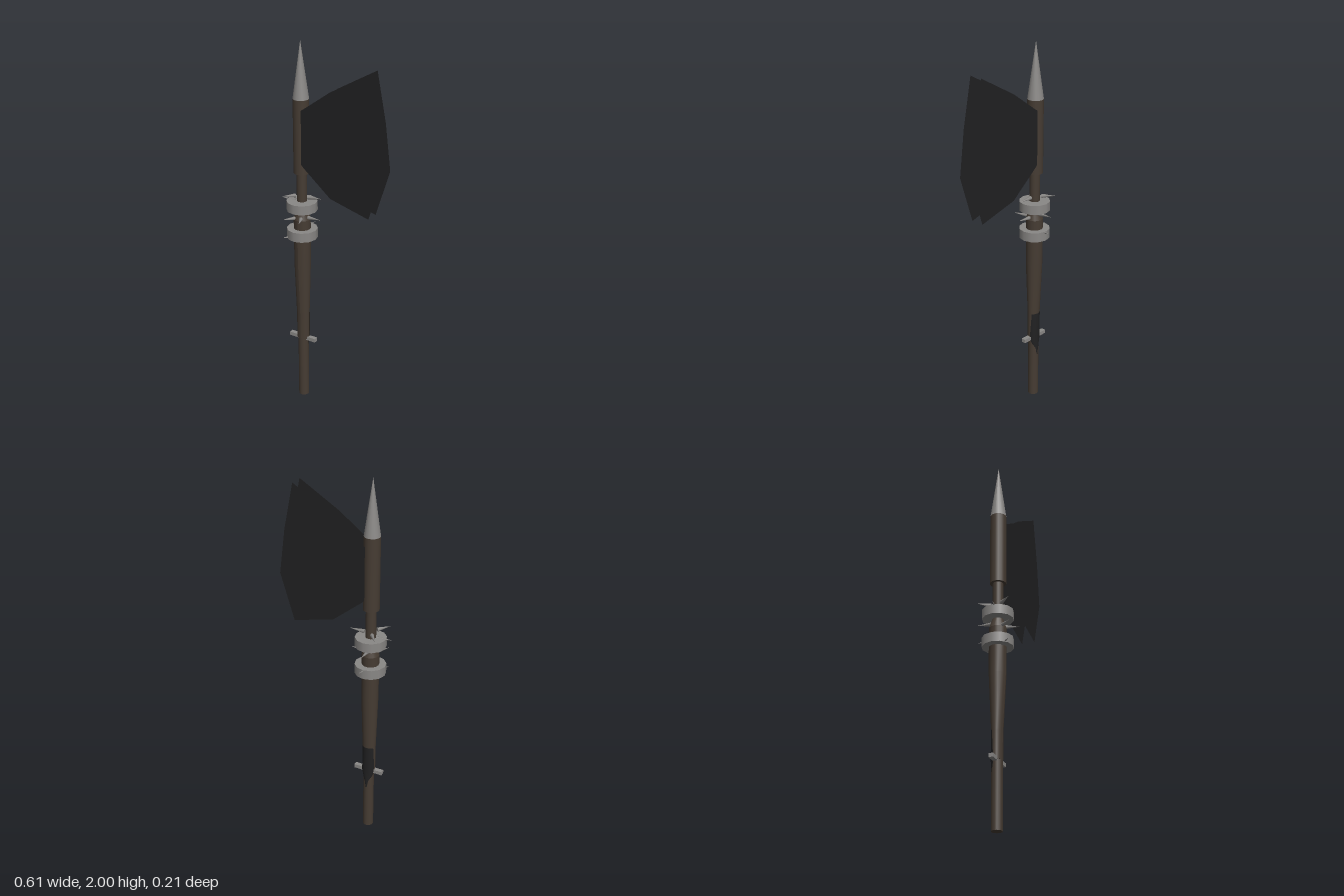
import * as THREE from 'three';

const wood = new THREE.MeshStandardMaterial({ name: 'darkWood', color: 0x463c33 });
const iron = new THREE.MeshStandardMaterial({ name: 'blackIron', color: 0x212122, side: THREE.DoubleSide });
const steel = new THREE.MeshStandardMaterial({ name: 'greySteel', color: 0x8a8886 });

const CX = -0.195, CZ = 0.005; // axis of the shaft

export function createModel() {
  const model = new THREE.Group();
  model.name = 'battleAxe';

  const add = (name, geometry, material, x = CX, y = 0, z = CZ) => {
    const mesh = new THREE.Mesh(geometry, material);
    mesh.name = name;
    mesh.position.set(x, y, z);
    model.add(mesh);
    return mesh;
  };
  const rod = (name, rTop, rBottom, y0, y1, material, sides = 16) =>
    add(name, new THREE.CylinderGeometry(rTop, rBottom, y1 - y0, sides), material, CX, (y0 + y1) / 2);

  // Shaft, from the butt to the spear point
  rod('butt', 0.028, 0.028, 0, 0.4, wood);
  const grip = new THREE.CylinderGeometry(1, 1, 1, 16, 3);
  const rows = [[0.35, 0.035, 0.028], [0.5, 0.036, 0.029], [0.8, 0.044, 0.044], [1.05, 0.045, 0.045]];
  const p = grip.attributes.position;
  for (let i = 0; i < p.count; i++) {
    const [y, rx, rz] = rows[Math.round((p.getY(i) + 0.5) * 3)];
    p.setXYZ(i, p.getX(i) * rx, y, p.getZ(i) * rz);
  }
  grip.computeVertexNormals();
  add('grip', grip, wood);
  rod('gripShoulder', 0.029, 0.045, 1.05, 1.1, wood);
  rod('neck', 0.027, 0.027, 1.08, 1.32, wood);
  rod('headSleeve', 0.042, 0.042, 1.305, 1.7, wood);
  rod('spearPoint', 0, 0.042, 1.7, 2.0, steel);

  // Dark strip at the back of the grip, tapering to a point below
  const strip = new THREE.CylinderGeometry(1, 1, 1, 10, 2, true, Math.PI * 0.56, Math.PI * 0.88);
  const s = strip.attributes.position;
  for (let i = 0; i < s.count; i++) {
    const row = Math.round((s.getY(i) + 0.5) * 2);
    const side = [0.05, 1, 0.75][row];
    const a = Math.atan2(s.getX(i), -s.getZ(i)) * side;
    const [rx, rz] = row === 0 ? [0.0285, 0.0285] : [0.0368, 0.0298];
    s.setXYZ(i, Math.sin(a) * rx, [0.25, 0.35, 0.5][row], -Math.cos(a) * rz);
  }
  strip.computeVertexNormals();
  add('gripStrip', strip, iron);

  // Collars and cross pin
  rod('upperCollar', 0.081, 0.081, 1.1, 1.15, steel, 12);
  rod('lowerCollar', 0.081, 0.081, 0.946, 0.997, steel, 12);
  add('crossPin', new THREE.BoxGeometry(0.16, 0.02, 0.024), steel, CX, 0.352);

  // Blade: two parallel plates, open along the rim
  const outline = [[-0.175, 1.648], [-0.157, 1.66], [0, 1.775], [0.225, 1.905], [0.275, 1.65],
    [0.305, 1.405], [0.225, 1.155], [0, 1.215], [-0.157, 1.345], [-0.175, 1.362]];
  const bladeShape = new THREE.Shape(outline.map(([x, y]) => new THREE.Vector2(x, y)));
  add('bladeFront', new THREE.ShapeGeometry(bladeShape), iron, 0, 0, 0.04);
  add('bladeBack', new THREE.ShapeGeometry(bladeShape).rotateY(Math.PI).scale(-1, 1, 1), iron, 0, 0, -0.03);

  // Socket plate between the two blade plates
  const socket = [[-0.02, 1.34], [0.015, 1.34], [0.034, 1.4], [0.034, 1.58], [0.02, 1.645],
    [-0.025, 1.645], [-0.034, 1.6], [-0.034, 1.4]];
  const socketShape = new THREE.Shape(socket.map(([x, y]) => new THREE.Vector2(x, y)));
  add('bladeSocket', new THREE.ShapeGeometry(socketShape).rotateY(Math.PI / 2), iron, -0.152);

  // Spikes around the collars, given by their tips
  const tips = [
    [-0.081, 1.178, -0.005], [-0.262, 1.187, 0.09], [-0.26, 1.18, -0.084], [-0.304, 1.15, 0.021],
    [-0.081, 1.066, 0.009], [-0.255, 1.06, 0.094], [-0.199, 1.085, -0.108], [-0.149, 1.065, 0.105],
    [-0.188, 0.992, -0.108], [-0.262, 0.955, 0.09],
  ];
  const up = new THREE.Vector3(0, 1, 0);
  for (const t of tips) {
    const tip = new THREE.Vector3(...t);
    const out = new THREE.Vector3(t[0] - CX, 0, t[2] - CZ).normalize();
    const base = new THREE.Vector3(CX, t[1] - 0.004, CZ).addScaledVector(out, 0.035);
    const dir = tip.clone().sub(base);
    const spike = add('spike', new THREE.ConeGeometry(0.011, dir.length(), 6), steel);
    spike.position.copy(base).add(tip).multiplyScalar(0.5);
    spike.quaternion.setFromUnitVectors(up, dir.normalize());
  }
  return model;
}
